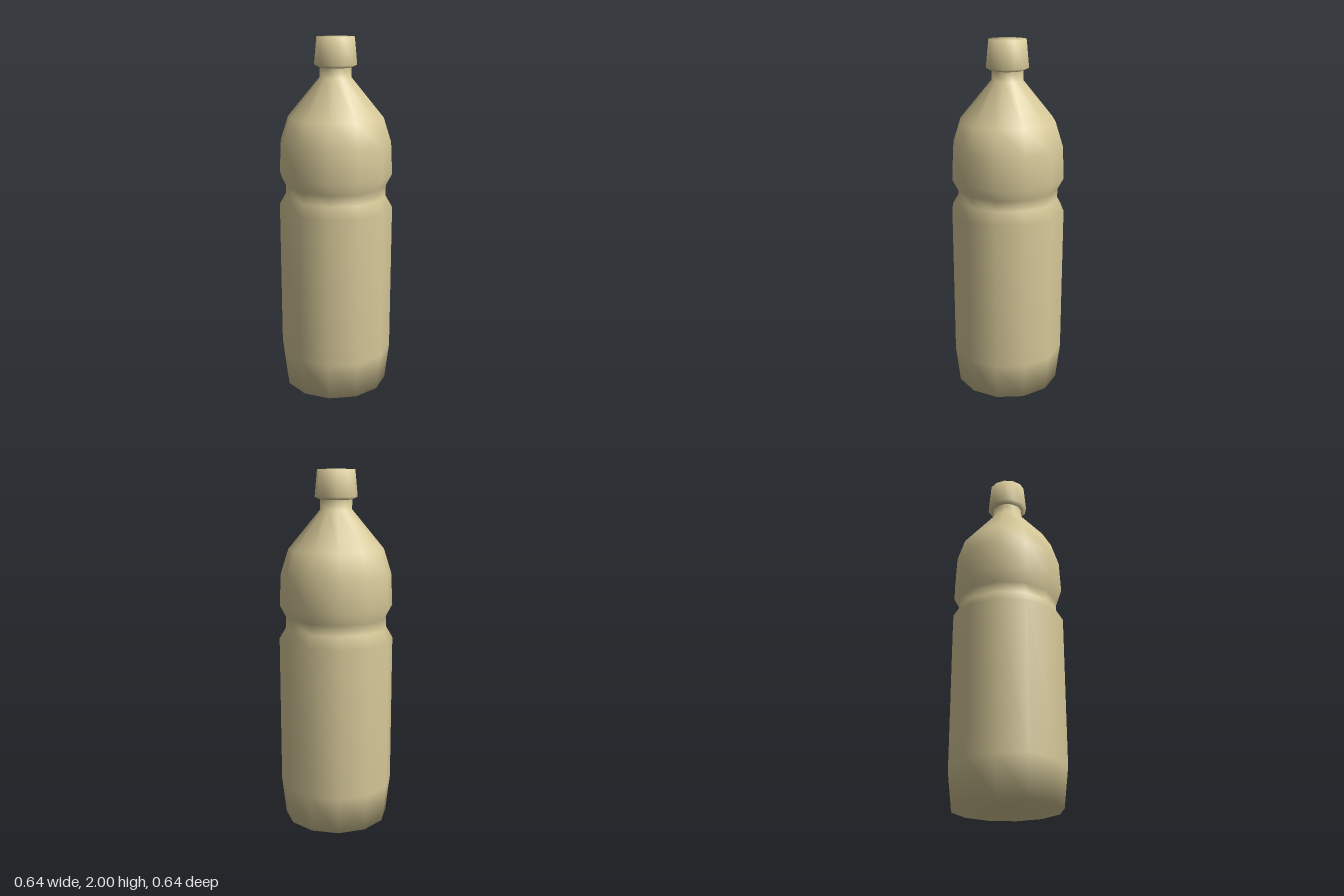
import * as THREE from 'three';

const SIDES = 12;

// Smooth, twelve-sided turned part from [radius, height] pairs, bottom to top
function turned(name, profile, material) {
  const points = profile.map(([r, y]) => new THREE.Vector2(r, y));
  const mesh = new THREE.Mesh(new THREE.LatheGeometry(points, SIDES), material);
  mesh.name = name;
  return mesh;
}

export function createModel() {
  const group = new THREE.Group();
  group.name = 'bottle';
  const plastic = new THREE.MeshStandardMaterial({ color: 0xd6c898, side: THREE.DoubleSide });

  // Body: closed base, straight sides, grip groove, rounded shoulder, neck
  group.add(turned('body', [
    [0, 0], [0.297, 0], [0.322, 0.215], [0.322, 1.065],
    [0.284, 1.13], [0.284, 1.19], [0.318, 1.255], [0.309, 1.435],
    [0.266, 1.57], [0.088, 1.785], [0.088, 1.84],
  ], plastic));

  // Screw cap: overhanging rim, tapering to a flat top
  group.add(turned('cap', [
    [0.088, 1.838], [0.118, 1.853], [0.104, 2], [0, 2],
  ], plastic));

  return group;
}
